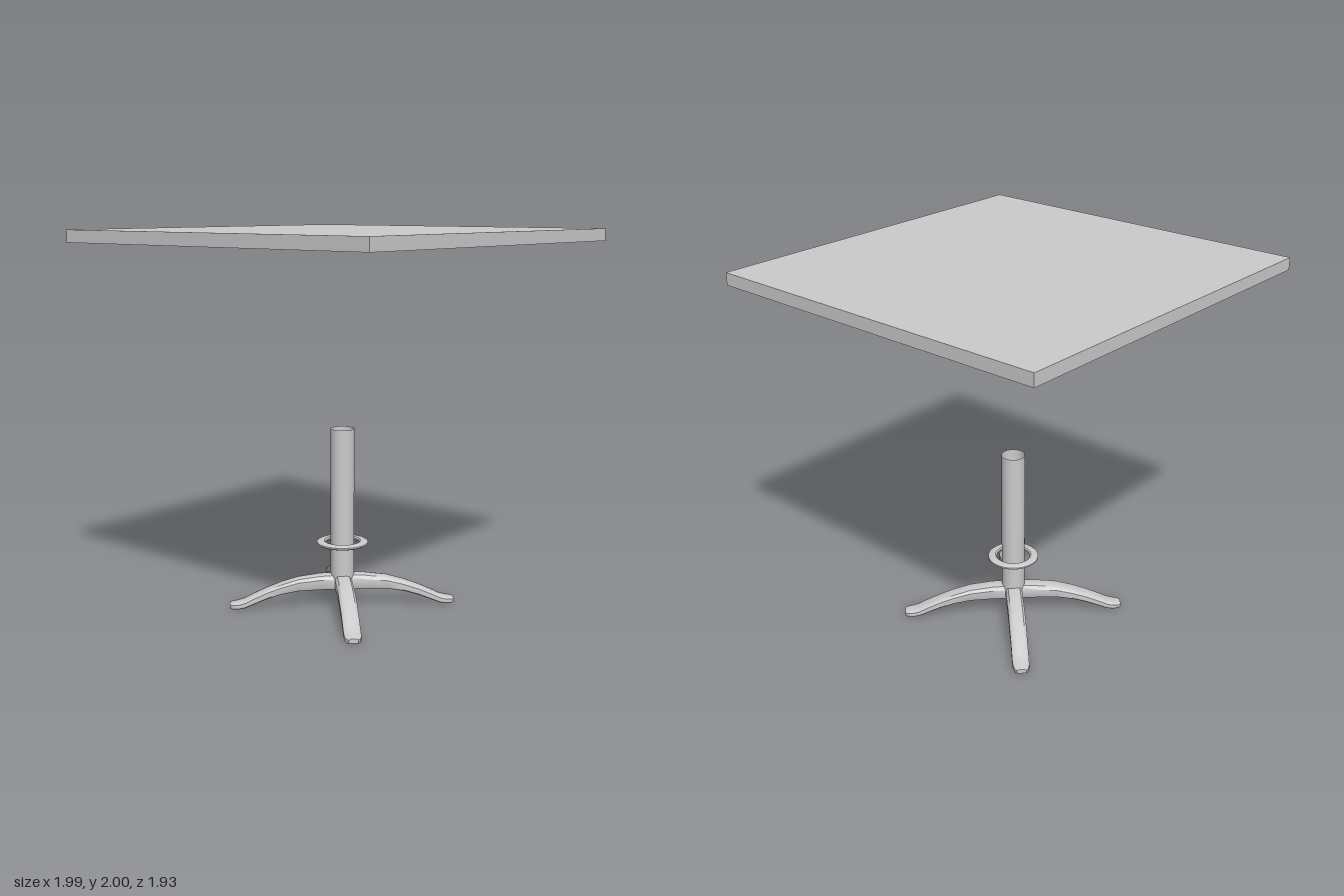
import * as THREE from 'three';
import { toCreasedNormals } from 'three/addons/utils/BufferGeometryUtils.js';

const grey = new THREE.MeshStandardMaterial({ color: 0xcccccc });
const greyOpen = new THREE.MeshStandardMaterial({ color: 0xcccccc, side: THREE.DoubleSide });

function part(name, geometry, material = grey) {
  const mesh = new THREE.Mesh(geometry, material);
  mesh.name = name;
  return mesh;
}

// Arched foot running out along +x: sections of [distance, bottom, top, half width]
function legGeometry() {
  const sections = [
    [0, 0.097, 0.178, 0.045], [0.12, 0.097, 0.173, 0.045], [0.24, 0.093, 0.157, 0.045],
    [0.33, 0.077, 0.13, 0.045], [0.41, 0.052, 0.1, 0.044], [0.48, 0.024, 0.068, 0.044],
    [0.525, 0.006, 0.045, 0.044], [0.56, 0, 0.035, 0.043], [0.59, 0, 0.031, 0.036],
    [0.603, 0.003, 0.027, 0.024],
  ];
  const positions = [], index = [];
  const n = 8;
  for (const [x, bottom, top, w] of sections) {
    const h = top - bottom;
    const ring = [
      [-w * 0.9, bottom], [w * 0.9, bottom], [w, bottom + h * 0.12], [w, top - h * 0.3],
      [w * 0.72, top - h * 0.06], [w * 0.3, top], [-w * 0.3, top], [-w * 0.72, top - h * 0.06],
      [-w, top - h * 0.3], [-w, bottom + h * 0.12],
    ];
    for (const [z, y] of ring) positions.push(x, y, z);
  }
  const count = n + 2;
  for (let s = 0; s < sections.length - 1; s++) {
    for (let i = 0; i < count; i++) {
      const a = s * count + i, b = s * count + (i + 1) % count;
      index.push(a, b, a + count, b, b + count, a + count);
    }
  }
  // Toe cap
  const last = (sections.length - 1) * count;
  for (let i = 1; i < count - 1; i++) index.push(last, last + i, last + i + 1);
  // Orient every face outwards
  for (let i = 0; i < index.length; i += 3) [index[i + 1], index[i + 2]] = [index[i + 2], index[i + 1]];
  const geometry = new THREE.BufferGeometry();
  geometry.setAttribute('position', new THREE.Float32BufferAttribute(positions, 3));
  geometry.setIndex(index);
  const p = geometry.attributes.position;
  const at = (k) => new THREE.Vector3().fromBufferAttribute(p, index[k]);
  const normal = at(1).sub(at(0)).cross(at(2).sub(at(0)));
  if (normal.y > 0) index.reverse(); // first face lies on the underside
  geometry.setIndex(index);
  return toCreasedNormals(geometry, 0.6);
}

export function createModel() {
  const model = new THREE.Group();
  model.name = 'pedestalTable';

  // Square slab top
  const top = part('tableTop', new THREE.BoxGeometry(1.986, 0.064, 1.928));
  top.position.y = 1.968;
  model.add(top);

  // Open tubular column
  const column = part('column', new THREE.CylinderGeometry(0.063, 0.063, 0.81, 32, 1, true), greyOpen);
  column.position.y = 0.56;
  model.add(column);

  // Flat ring around the column, with rounded rims
  const profile = [
    [0.09, 0.004], [0.09, -0.004], [0.097, -0.01], [0.128, -0.01],
    [0.137, -0.004], [0.137, 0.004], [0.128, 0.01], [0.097, 0.01], [0.09, 0.004],
  ].map(([x, y]) => new THREE.Vector2(x, y));
  const ring = part('collarRing', toCreasedNormals(new THREE.LatheGeometry(profile, 40), 0.6), greyOpen);
  ring.position.y = 0.347;
  model.add(ring);

  // Four arched feet on the diagonals
  const base = new THREE.Group();
  base.name = 'base';
  const leg = legGeometry();
  for (let i = 0; i < 4; i++) {
    const mesh = part(`leg${i + 1}`, leg);
    mesh.rotation.y = Math.PI / 4 + i * Math.PI / 2;
    base.add(mesh);
  }
  model.add(base);
  return model;
}
